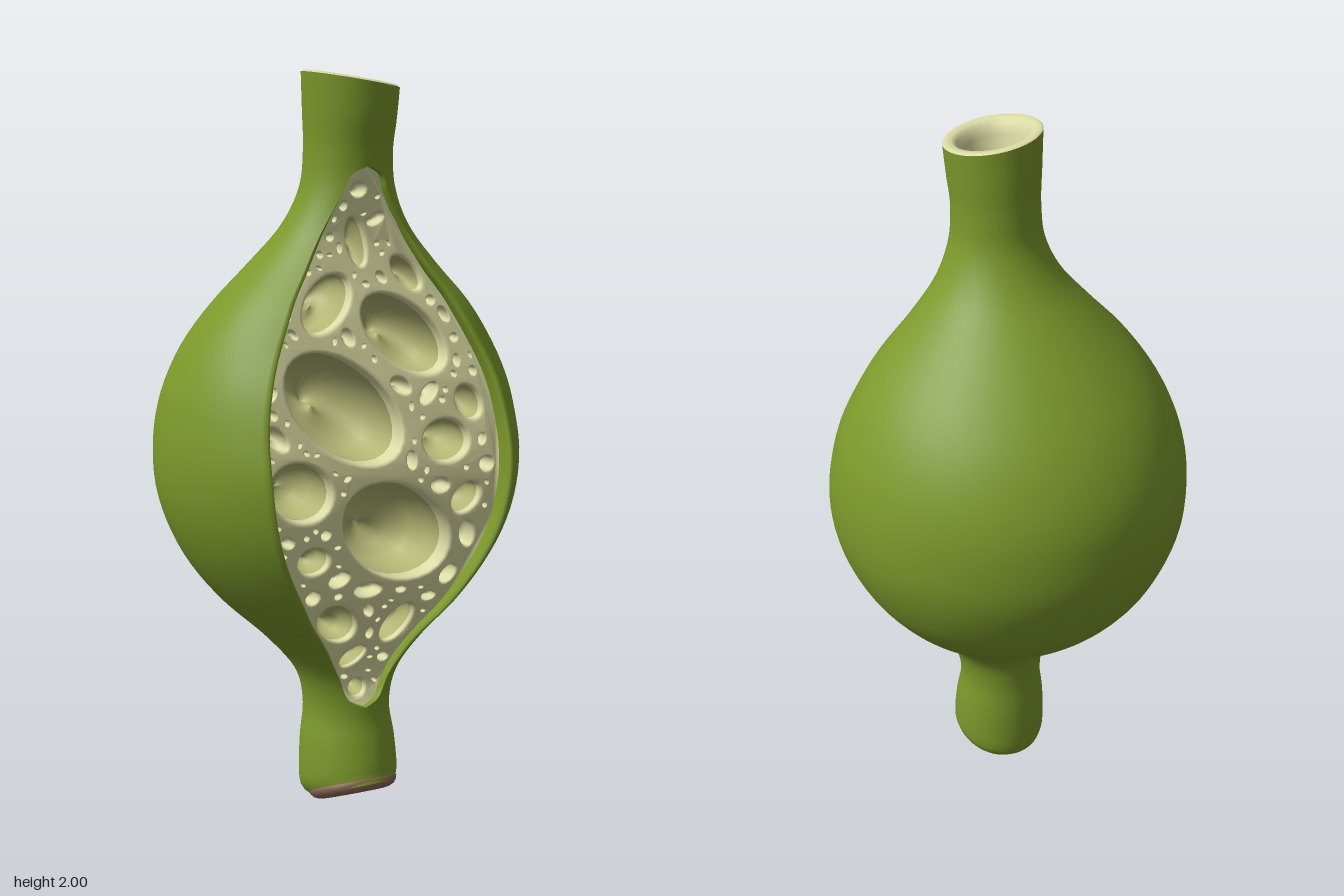
import * as THREE from 'three';
import { mergeGeometries, mergeVertices } from 'three/addons/utils/BufferGeometryUtils.js';

// Smooth interpolation of column k in a table sorted by its first column
function look(table, y, k) {
  const n = table.length - 1;
  if (y <= table[0][0]) return table[0][k];
  if (y >= table[n][0]) return table[n][k];
  let i = 0;
  while (y > table[i + 1][0]) i++;
  const slope = j => {
    const a = table[Math.max(j - 1, 0)], b = table[Math.min(j + 1, n)];
    return (b[k] - a[k]) / (b[0] - a[0]);
  };
  const p = table[i], q = table[i + 1], h = q[0] - p[0], t = (y - p[0]) / h, t2 = t * t, t3 = t2 * t;
  return (2 * t3 - 3 * t2 + 1) * p[k] + (t3 - 2 * t2 + t) * h * slope(i)
    + (3 * t2 - 2 * t3) * q[k] + (t3 - t2) * h * slope(i + 1);
}

// Pod sections: height, radius, centre z, depth of the front half
const POD = [
  [0.05, 0.113, 0.174, 0.113], [0.07, 0.127, 0.156, 0.125], [0.1, 0.135, 0.143, 0.135], [0.2, 0.131, 0.135, 0.128],
  [0.3, 0.12, 0.13, 0.115], [0.4, 0.145, 0.135, 0.122], [0.5, 0.225, 0.12, 0.2],
  [0.6, 0.33, 0.09, 0.318], [0.7, 0.41, 0.08, 0.39], [0.8, 0.463, 0.08, 0.436],
  [0.9, 0.494, 0.08, 0.456], [1, 0.503, 0.083, 0.452], [1.1, 0.494, 0.083, 0.424], [1.2, 0.468, 0.09, 0.38],
  [1.3, 0.422, 0.1, 0.312], [1.4, 0.353, 0.113, 0.245], [1.5, 0.26, 0.115, 0.188], [1.6, 0.175, 0.123, 0.14],
  [1.7, 0.128, 0.13, 0.12], [1.8, 0.117, 0.132, 0.122], [1.9, 0.122, 0.138, 0.13], [2, 0.128, 0.145, 0.13],
];
// Half width of the front opening
const Y0 = 0.31, Y1 = 1.76;
const OPENING = [
  [Y0, 0], [0.33, 0.042], [0.4, 0.075], [0.5, 0.135], [0.6, 0.21], [0.8, 0.315], [1, 0.35],
  [1.2, 0.328], [1.4, 0.24], [1.5, 0.175], [1.6, 0.115], [1.7, 0.06], [1.74, 0.042], [Y1, 0],
];
const isCut = y => y >= Y0 && y <= Y1;
const halfWidth = y => (isCut(y) ? Math.max(0, look(OPENING, y, 1)) : 0);
const edgeAngle = y => Math.asin(halfWidth(y) / look(POD, y, 1));
const edgeZ = y => look(POD, y, 2) + look(POD, y, 3) * Math.cos(edgeAngle(y));
const pithZ = y => edgeZ(y) - 0.018 - 0.045 * Math.sin(Math.PI * THREE.MathUtils.clamp((y - Y0) / (Y1 - Y0), 0, 1));

// Slanted cuts at both ends of the pod
function slant(x, y, z) {
  const top = THREE.MathUtils.smoothstep(y, 1.75, 2), low = 1 - THREE.MathUtils.smoothstep(y, 0.05, 0.28);
  return [x, y - top * (0.022 + 0.15 * x + 0.06 * (z - 0.145)) + low * 0.43 * (z - 0.155), z];
}

// Surface through equal-length rows of points
function grid(rows) {
  const w = rows[0].length, index = [];
  for (let j = 0; j < rows.length - 1; j++) for (let i = 0; i < w - 1; i++) {
    const a = j * w + i, b = a + 1, c = a + w, d = c + 1;
    index.push(a, b, d, a, d, c);
  }
  const g = new THREE.BufferGeometry();
  g.setAttribute('position', new THREE.Float32BufferAttribute(rows.flat(2), 3));
  g.setIndex(index);
  return g;
}
function smooth(g) {
  const m = mergeVertices(g, 1e-5);
  m.computeVertexNormals();
  return m;
}

// Heights of the opening, denser towards its tips
const CUT = Array.from({ length: 73 }, (_, i) => Y0 + (Y1 - Y0) * (0.5 - 0.5 * Math.cos(Math.PI * i / 72)));

function rindGeometry() {
  const ys = [...CUT];
  for (let i = 0; i < 14; i++) ys.push(0.05 + (Y0 - 0.05) * i / 14, 2 - (2 - Y1) * i / 14);
  ys.sort((a, b) => a - b);
  return smooth(grid(ys.map(y => {
    const r = look(POD, y, 1), cz = look(POD, y, 2), f = look(POD, y, 3);
    const xe = halfWidth(y), ze = edgeZ(y), w = Math.min(1, xe / 0.15), phi = edgeAngle(y) + 0.045 * w;
    // rounded lip that turns in from the rind to the pith
    const lip = s => (isCut(y)
      ? [[s * xe, y, pithZ(y) - 0.01], [s * (xe - 0.007 * w), y, ze - 0.02], [s * (xe - 0.003 * w), y, ze - 0.007],
        [s * (xe + 0.006 * w), y, ze - 0.004 * w]]
      : Array(4).fill(slant(0, y, ze)));
    const row = lip(1);
    for (let i = 0; i <= 80; i++) {
      const t = phi + (2 * Math.PI - 2 * phi) * i / 80, c = Math.cos(t);
      row.push(slant(r * Math.sin(t), y, cz + (c > 0 ? f : r) * c));
    }
    return [...row, ...lip(-1).reverse()];
  })));
}

// Large cells: x, y, long radius, short radius, turn in degrees
const CELLS = [
  [-0.1, 1.145, 0.185, 0.12, -38], [0.04, 0.815, 0.175, 0.125, -30], [0.1, 1.325, 0.14, 0.087, -38],
  [-0.115, 1.41, 0.095, 0.06, 45], [-0.24, 0.945, 0.095, 0.08, -25], [0.19, 1.045, 0.075, 0.062, 0],
  [0.13, 1.48, 0.085, 0.052, -50], [-0.01, 1.565, 0.07, 0.034, -80], [-0.1, 0.565, 0.1, 0.072, -40],
  [0.27, 1.14, 0.06, 0.048, -60], [-0.2, 0.76, 0.052, 0.044, 0], [0.245, 0.89, 0.055, 0.042, 40],
  [0.085, 0.545, 0.068, 0.045, 60], [0.065, 0.44, 0.042, 0.035, 0], [-0.01, 0.36, 0.035, 0.035, 0],
  [-0.01, 1.7, 0.028, 0.025, 0], [0.225, 1.37, 0.045, 0.03, -60], [-0.3, 1.085, 0.045, 0.03, -45],
  [-0.03, 0.66, 0.045, 0.026, 0], [-0.12, 0.7, 0.035, 0.025, 20], [0.07, 1.195, 0.035, 0.025, -30],
  [-0.06, 1.55, 0.03, 0.018, 90], [0.07, 0.65, 0.035, 0.025, 0], [0.18, 0.68, 0.04, 0.03, 50],
  [0.15, 1.17, 0.045, 0.026, 45], [-0.23, 1.28, 0.035, 0.026, 60], [0.165, 0.93, 0.04, 0.03, 0],
];
function oval([x, y, a, b, deg], inset = 0, n = 28) {
  const t = deg * Math.PI / 180, c = Math.cos(t), s = Math.sin(t);
  return Array.from({ length: n }, (_, i) => {
    const u = (a - inset) * Math.cos(2 * Math.PI * i / n), v = (b - inset) * Math.sin(2 * Math.PI * i / n);
    return [x + u * c - v * s, y + u * s + v * c];
  });
}
function inside([px, py], [x, y, a, b, deg], gap) {
  const t = deg * Math.PI / 180, dx = px - x, dy = py - y;
  const u = dx * Math.cos(t) + dy * Math.sin(t), v = dy * Math.cos(t) - dx * Math.sin(t);
  return (u / (a + gap)) ** 2 + (v / (b + gap)) ** 2 < 1;
}
function placeCells() {
  const placed = [];
  const fits = (cell, gap) => oval(cell, -0.008).every(([x, y]) => y > Y0 && y < Y1 && Math.abs(x) < halfWidth(y))
    && placed.every(o => Math.hypot(o[0] - cell[0], o[1] - cell[1]) > o[2] + cell[2] + gap
      || (!oval(cell).some(p => inside(p, o, gap)) && !oval(o).some(p => inside(p, cell, gap))));
  for (const [x, y, a, b, d] of CELLS) {
    for (let s = 1.05; s > 0.4; s -= 0.05) {
      const cell = [x, y, a * s, b * s, d];
      if (fits(cell, 0.006)) { placed.push(cell); break; }
    }
  }
  // small pores fill the webs between the cells
  let seed = 7;
  const rnd = () => (seed = (seed * 16807) % 2147483647) / 2147483647;
  for (let i = 0; i < 5000; i++) {
    const a = 0.052 - 0.042 * Math.min(1, i / 3500);
    const cell = [(rnd() - 0.5) * 0.7, Y0 + rnd() * (Y1 - Y0), a, a * (0.6 + 0.35 * rnd()), rnd() * 180];
    if (fits(cell, 0.006)) placed.push(cell);
  }
  return placed;
}

// Pierced front sheet with rounded rims, and the hollow chambers behind it
function pithGeometries() {
  const cells = placeCells(), front = [], chambers = [];
  const side = s => CUT.slice(1, -1).map(y => new THREE.Vector2(s * halfWidth(y), y));
  const shape = new THREE.Shape([new THREE.Vector2(0, Y0), ...side(1), new THREE.Vector2(0, Y1), ...side(-1).reverse()]);
  const size = c => (c[2] > 0.035 ? 28 : 14);
  for (const c of cells) shape.holes.push(new THREE.Path(oval(c, 0, size(c)).map(p => new THREE.Vector2(...p))));
  const sheet = new THREE.ShapeGeometry(shape);
  sheet.deleteAttribute('normal');
  sheet.deleteAttribute('uv');
  const pos = sheet.attributes.position;
  for (let i = 0; i < pos.count; i++) pos.setZ(i, pithZ(pos.getY(i)));
  front.push(sheet);
  for (const c of cells) {
    const b = c[3], lip = Math.min(0.01, 0.25 * b), depth = Math.min(0.28, 2.3 * b);
    const ring = (inset, k, down, shift) => {
      const r = oval(c, inset, size(c)).map(([x, y]) => {
        const px = c[0] + (x - c[0]) * k + shift, py = c[1] + (y - c[1]) * k - shift;
        return [px, py, pithZ(y) - down];
      });
      return [...r, r[0]];
    };
    const rim = [0, 0.5, 1, 1.5].map(t => ring(lip * Math.sin(t), 1, lip * (1 - Math.cos(t)), 0));
    const neck = ring(lip, 0.98, depth * 0.18, 0);
    front.push(grid([...rim, neck]));
    const bowl = grid([neck, ring(lip, 1, depth * 0.45, 0.03 * b), ring(lip, 0.9, depth * 0.75, 0.08 * b),
      ring(lip, 0.6, depth * 0.92, 0.14 * b), ring(lip, 0.25, depth * 0.99, 0.18 * b), ring(lip, 0.05, depth, 0.2 * b)]);
    const floor = grid([ring(lip, 0.05, depth, 0.2 * b), ring(lip, 0.002, depth, 0.2 * b)]);
    (b > 0.03 ? chambers : front).push(bowl, floor);
  }
  return [front, chambers].map(parts => smooth(mergeGeometries(parts)));
}

export function createModel() {
  const mat = (name, color) => Object.assign(new THREE.MeshStandardMaterial({ color }), { name });
  const green = mat('green rind', 0x7c982b), cream = mat('cream pith', 0xdadaa4);
  const olive = mat('olive cream chamber', 0xb2b574), brown = mat('brown scar', 0x8c6b58);
  const model = new THREE.Group();
  model.name = 'seedPod';
  const add = (name, g, m, parent = model) => {
    const mesh = new THREE.Mesh(g, m);
    mesh.name = name;
    parent.add(mesh);
  };

  add('rind', rindGeometry(), green);
  const [front, chambers] = pithGeometries();
  add('porousPith', front, cream);
  add('pithChambers', chambers, olive);

  // thick-walled neck rim and its bore
  const lining = [[0.128, 2], [0.122, 2.005], [0.105, 2.003], [0.092, 1.992], [0.083, 1.965], [0.074, 1.9], [0.06, 1.82], [0.056, 1.775], [0.001, 1.765]];
  add('neckLining', smooth(grid(lining.map(([r, y]) => Array.from({ length: 49 }, (_, i) => {
    const t = 2 * Math.PI * (i % 48) / 48, c = Math.cos(t);
    return slant(r * Math.sin(t), y, 0.145 + r * c * (c > 0 ? 0.13 / 0.128 : 1));
  })))), cream);

  // slanted stem scar underneath, with a hollow core
  const scar = new THREE.Group();
  scar.name = 'stemScar';
  scar.position.set(0, 0.057, 0.176);
  scar.rotation.x = -0.406;
  model.add(scar);
  const lathe = pts => new THREE.LatheGeometry(pts.map(p => new THREE.Vector2(...p)), 48);
  add('scarRing', lathe([[0.07, 0.004], [0.073, -0.009], [0.083, -0.014], [0.098, -0.012], [0.112, -0.006], [0.12, 0.004], [0.124, 0.016], [0.116, 0.022]]), brown, scar);
  add('scarCore', lathe([[0, 0.13], [0.045, 0.12], [0.062, 0.09], [0.068, 0.03], [0.071, 0.0]]), cream, scar);
  return model;
}
